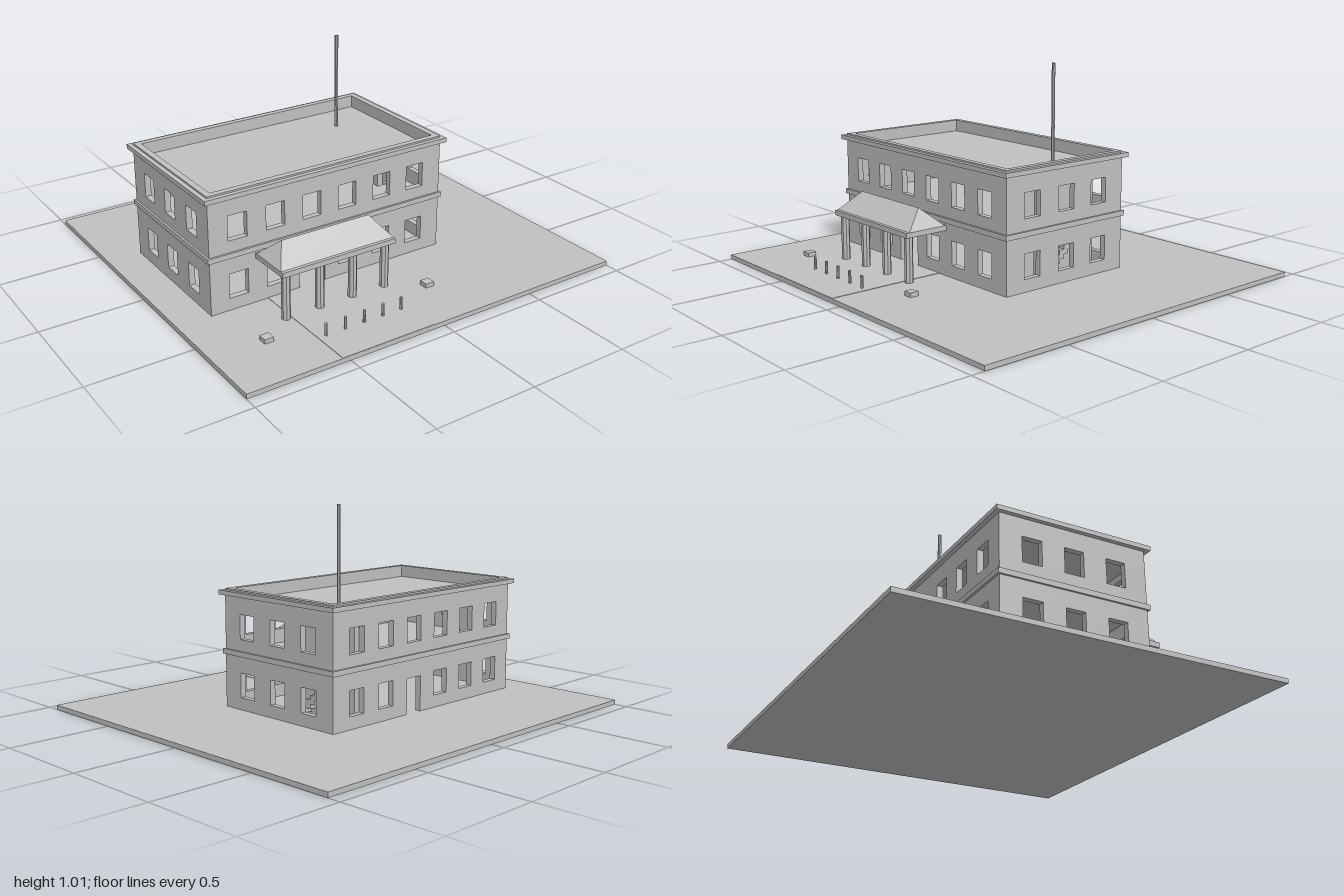
import * as THREE from 'three';

const GROUND = 0.023;
const X0 = -0.83, X1 = 0.43, Z0 = -0.3925, Z1 = 0.335; // building footprint
const T = 0.03; // wall thickness
const TOP = 0.6;

export function createModel() {
  const model = new THREE.Group();
  const grey = new THREE.MeshStandardMaterial({ color: 0xc0c0c0 });
  grey.name = 'plain grey';

  function add(name, geometry, parent = model) {
    const mesh = new THREE.Mesh(geometry, grey);
    mesh.name = name;
    parent.add(mesh);
    return mesh;
  }

  // Box given by its low and high corners
  function box(name, x0, x1, y0, y1, z0, z1, parent) {
    const m = add(name, new THREE.BoxGeometry(x1 - x0, y1 - y0, z1 - z0), parent);
    m.position.set((x0 + x1) / 2, (y0 + y1) / 2, (z0 + z1) / 2);
    return m;
  }

  function rect(PathType, x0, x1, y0, y1) {
    return new PathType([[x0, y0], [x1, y0], [x1, y1], [x0, y1]].map(p => new THREE.Vector2(...p)));
  }

  // Upright wall with rectangular openings [x0, x1, y0, y1]
  function wall(name, a, b, y0, y1, openings, depth = T) {
    const shape = rect(THREE.Shape, a, b, y0, y1);
    for (const o of openings) shape.holes.push(rect(THREE.Path, ...o));
    return add(name, new THREE.ExtrudeGeometry(shape, { depth, bevelEnabled: false }));
  }

  // Horizontal rectangular ring around the building
  function ring(name, out, inset, y0, y1) {
    const shape = rect(THREE.Shape, X0 - out, X1 + out, -Z1 - out, -Z0 + out);
    shape.holes.push(rect(THREE.Path, X0 + inset, X1 - inset, -Z1 + inset, -Z0 - inset));
    const g = new THREE.ExtrudeGeometry(shape, { depth: y1 - y0, bevelEnabled: false });
    g.rotateX(-Math.PI / 2);
    add(name, g).position.y = y0;
  }

  // Site
  box('groundSlab', -1, 1, 0, GROUND, -0.935, 0.935);
  box('entrancePath', -0.54, -0.06, GROUND, GROUND + 0.002, Z1, 0.934);

  // Window openings: two storeys
  const sills = [0.083, 0.365], winH = 0.12, half = 0.048;
  const frontX = [-0.686, -0.493, -0.3, -0.107, 0.087, 0.28];
  const sideZ = [0.18, -0.03, -0.236];
  const windows = (centres, skip) => sills.flatMap((s, level) =>
    centres.filter((c, i) => !(level === 0 && i === skip))
      .map(c => [c - half, c + half, s, s + winH]));

  // Outer walls, with an entrance in front and a door behind
  wall('frontWall', X0, X1, 0.012, TOP,
    [...windows(frontX, 2), [-0.37, -0.23, GROUND, 0.205]]).position.z = Z1 - T;
  wall('backWall', X0, X1, 0.012, TOP,
    [...windows(frontX, 3), [-0.155, -0.059, GROUND, 0.195]]).position.z = Z0;
  for (const [name, x] of [['leftWall', X1 - T], ['rightWall', X0]]) {
    const m = wall(name, -Z1 + T, -Z0 - T, 0.012, TOP,
      windows(sideZ.map(z => -z), -1));
    m.rotation.y = Math.PI / 2;
    m.position.x = x;
  }

  // Mouldings and roof deck
  ring('stringCourse', 0.01, 0.01, 0.283, 0.308);
  ring('cornice', 0.022, 0.01, 0.57, 0.592);
  box('roofDeck', X0 + T, X1 - T, 0.515, 0.54, Z0 + T, Z1 - T);

  // Interior floor, leaving the stairwell open
  box('upperFloor', X0 + T, 0.24, 0.27, 0.295, Z0 + T, Z1 - T);
  box('upperLanding', 0.24, X1 - T, 0.27, 0.295, 0.07, Z1 - T);

  // Stairwell walls
  box('stairwellSideWall', 0.238, 0.265, GROUND, 0.515, Z0 + T, 0.1);
  wall('stairwellFrontWall', 0.265, X1 - T, GROUND, 0.515,
    [[0.268, 0.35, GROUND + 0.002, 0.2], [0.268, 0.35, 0.3, 0.46]], 0.02).position.z = 0.08;

  // Staircase: stacked treads rising to the back
  const stairs = new THREE.Group();
  stairs.name = 'staircase';
  model.add(stairs);
  const steps = 12, run = 0.34 / steps, rise = 0.26 / steps;
  for (let i = 0; i < steps; i++) {
    const y = GROUND + (i + 1) * rise, z = 0.0 - i * run;
    box('step', 0.265, 0.3, Math.max(GROUND, y - 0.045), y, z - run, z, stairs);
  }

  // Porch: slab, hipped roof and columns
  const porch = new THREE.Group();
  porch.name = 'porch';
  model.add(porch);
  box('porchSlab', -0.6, 0, 0.245, 0.27, Z1, 0.565, porch);

  // Hipped roof: a box whose top is drawn in to a ridge
  const roof = new THREE.BoxGeometry(0.6, 0.09, 0.205);
  const p = roof.attributes.position;
  for (let i = 0; i < p.count; i++) {
    if (p.getY(i) > 0) {
      p.setX(i, Math.sign(p.getX(i)) * 0.232);
      p.setZ(i, Math.sign(p.getZ(i)) * 0.0005);
    }
  }
  const flatRoof = roof.toNonIndexed();
  flatRoof.computeVertexNormals();
  add('porchRoof', flatRoof, porch).position.set(-0.3, 0.315, 0.446);

  const flat = (r, h, n) => {
    const g = new THREE.CylinderGeometry(r, r, h, n).toNonIndexed();
    g.rotateY(Math.PI / n);
    g.computeVertexNormals();
    return g;
  };
  for (const x of [-0.565, -0.388, -0.212, -0.035]) {
    add('porchColumn', flat(0.021, 0.245 - GROUND, 8), porch)
      .position.set(x, (0.245 + GROUND) / 2, 0.53);
  }

  // Bollards and low planters in the forecourt
  for (let i = 0; i < 5; i++) {
    add('bollard', flat(0.007, 0.062, 8)).position.set(-0.5 + i * 0.1, GROUND + 0.031, 0.748);
  }
  for (const x of [-0.73, 0.133]) {
    box('planter', x - 0.0225, x + 0.0225, GROUND, 0.044, 0.617, 0.662);
  }

  // Flagpole on the roof
  add('flagpole', flat(0.009, 0.472, 8)).position.set(0.178, 0.776, -0.177);

  return model;
}
